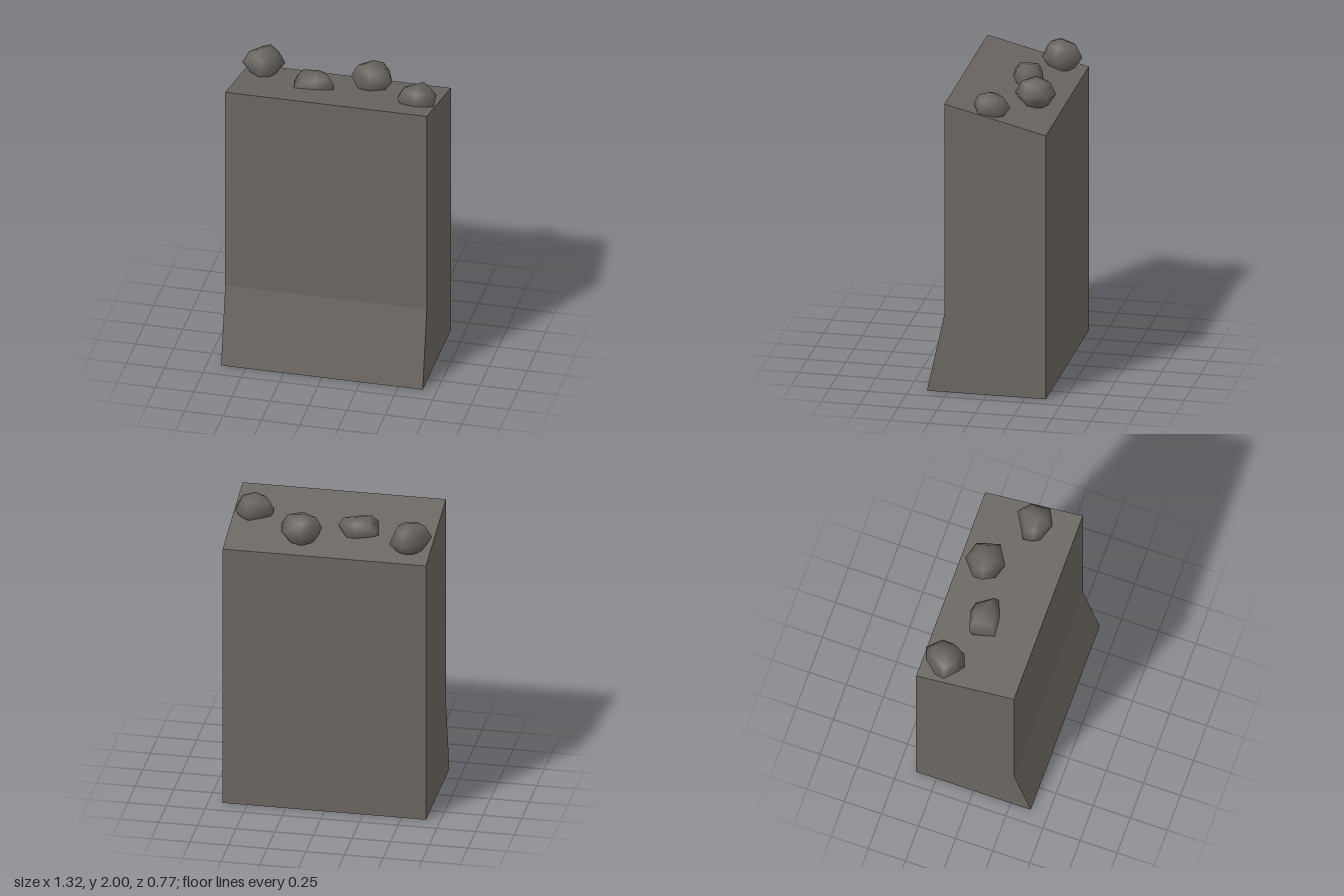
import * as THREE from 'three';
import { ConvexGeometry } from 'three/addons/geometries/ConvexGeometry.js';
import { mergeVertices } from 'three/addons/utils/BufferGeometryUtils.js';

const WIDTH = 1.316;

// Rocks: plan outline as [x, z], heights of base, widest ring and peak, peak position
const ROCKS = [
  { outline: [[-0.66, -0.2], [-0.643, -0.265], [-0.57, -0.35], [-0.494, -0.378], [-0.402, -0.3],
      [-0.412, -0.218], [-0.458, -0.13], [-0.53, -0.107], [-0.583, -0.13]],
    base: 1.815, middle: 1.885, top: 2.0, peak: [-0.525, -0.24] },
  { outline: [[-0.302, -0.137], [-0.288, -0.16], [-0.156, -0.197], [-0.092, -0.183],
      [-0.036, -0.087], [-0.025, -0.05], [-0.135, 0], [-0.274, 0.008]],
    base: 1.805, middle: 1.865, top: 1.95, peak: [-0.155, -0.11] },
  { outline: [[0.053, -0.194], [0.06, -0.258], [0.163, -0.346], [0.277, -0.31], [0.305, -0.25],
      [0.32, -0.165], [0.195, -0.087], [0.103, -0.123]],
    base: 1.81, middle: 1.885, top: 1.995, peak: [0.175, -0.225] },
  { outline: [[0.4, -0.04], [0.561, -0.135], [0.64, -0.07], [0.65, 0.055], [0.54, 0.108],
      [0.43, 0.066], [0.405, 0.02]],
    base: 1.835, middle: 1.905, top: 2.0, peak: [0.53, 0.01] },
];

// Smooth-shaded boulder: stacked scaled outlines wrapped in a convex hull
function rockGeometry({ outline, base, middle, top, peak }) {
  const points = [new THREE.Vector3(peak[0], top, peak[1])];
  const ring = (scale, y, wobble) => outline.forEach(([x, z], i) => points.push(new THREE.Vector3(
    peak[0] + (x - peak[0]) * scale,
    y + Math.sin(i * 2.3 + peak[0] * 9) * wobble,
    peak[1] + (z - peak[1]) * scale)));
  ring(0.62, base, 0.004);
  ring(1, middle, 0.015);
  ring(0.7, middle + (top - middle) * 0.7, 0.008);
  const hull = new ConvexGeometry(points);
  hull.deleteAttribute('normal');
  const geometry = mergeVertices(hull, 1e-4);
  geometry.computeVertexNormals();
  return geometry;
}

export function createModel() {
  const model = new THREE.Group();
  model.name = 'stonePillar';
  const stone = new THREE.MeshStandardMaterial({ color: 0x6b6661 });
  stone.name = 'stone';
  const rock = new THREE.MeshStandardMaterial({ color: 0x66625e });
  rock.name = 'rock';

  // Slab with flared foot and sloping top: side profile as (z, y), extruded across x
  const profile = new THREE.Shape([[-0.386, 0], [0.386, 0], [0.273, 0.525], [0.273, 1.945], [-0.386, 1.78]]
    .map(([z, y]) => new THREE.Vector2(z, y)));
  const slabGeometry = new THREE.ExtrudeGeometry(profile, { depth: WIDTH, bevelEnabled: false });
  slabGeometry.rotateY(-Math.PI / 2).translate(WIDTH / 2, 0, 0);
  const slab = new THREE.Mesh(slabGeometry, stone);
  slab.name = 'slab';
  model.add(slab);

  // Loose rocks on the sloping top
  const rocks = new THREE.Group();
  rocks.name = 'rocks';
  ROCKS.forEach((spec, i) => {
    const mesh = new THREE.Mesh(rockGeometry(spec), rock);
    mesh.name = `rock${i + 1}`;
    rocks.add(mesh);
  });
  model.add(rocks);
  return model;
}
